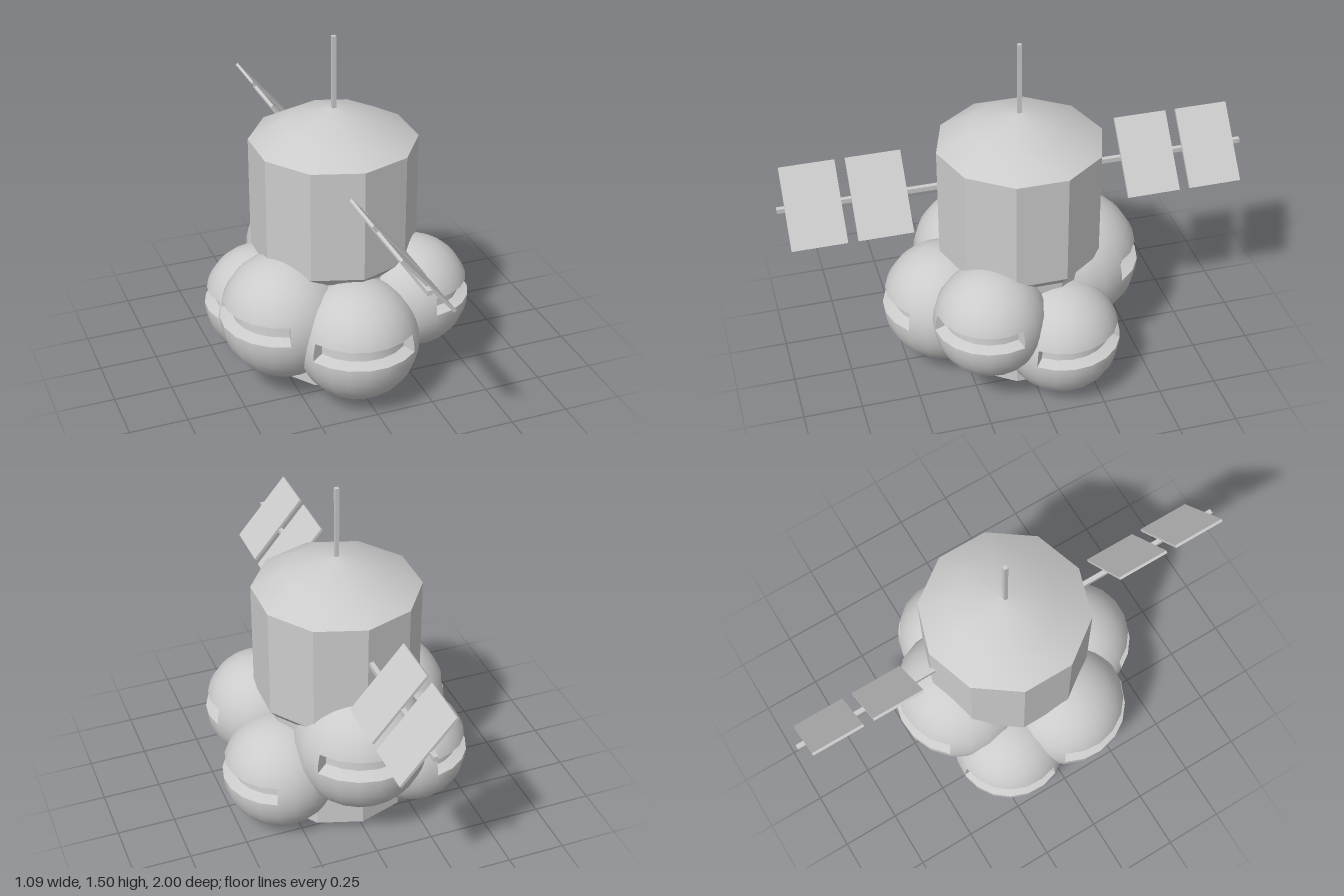
import * as THREE from 'three';
import { toCreasedNormals } from 'three/addons/utils/BufferGeometryUtils.js';

const DEG = Math.PI / 180;
const grey = new THREE.MeshStandardMaterial({ color: 0xcccccc });
const greyDouble = new THREE.MeshStandardMaterial({ color: 0xcccccc, side: THREE.DoubleSide });

function addMesh(parent, name, geometry, material = grey) {
  const mesh = new THREE.Mesh(geometry, material);
  mesh.name = name;
  parent.add(mesh);
  return mesh;
}

function addBox(parent, name, size, position) {
  const mesh = addMesh(parent, name, new THREE.BoxGeometry(...size));
  mesh.position.set(...position);
  return mesh;
}

// Spherical pod with a recessed slot just above its equator, centred on azimuth az (0 = +z, 90 = +x)
function createPod(name, [x, y, z], r, az) {
  const pod = new THREE.Group();
  pod.name = name;
  pod.position.set(x, y, z);
  const start = (az - 54) * DEG, span = 108 * DEG, end = start + span;
  const bandTop = 72 * DEG, full = Math.PI * 2, quarter = Math.PI / 2;
  const phi = start + quarter; // sphere geometry measures its angle from -x

  addMesh(pod, 'podTop', new THREE.SphereGeometry(r, 20, 8, phi, full, 0, bandTop));
  addMesh(pod, 'podBottom', new THREE.SphereGeometry(r, 20, 10, phi, full, quarter, quarter));
  addMesh(pod, 'podBand', new THREE.SphereGeometry(r, 14, 2, phi + span, full - span, bandTop, 18 * DEG));

  // Slot ledges and floor, then the two end walls
  const profile = [[1, 0], [0.81, 0.06], [0.79, 0.285], [0.951, 0.309]]
    .map(([px, py]) => new THREE.Vector2(px * r, py * r));
  const slot = new THREE.LatheGeometry(profile, 6, start, span);
  addMesh(pod, 'slot', toCreasedNormals(slot, 0.5), greyDouble);
  const middle = new THREE.Vector2(Math.cos(9 * DEG) * r, Math.sin(9 * DEG) * r);
  for (const angle of [start, end]) {
    const wall = new THREE.ShapeGeometry(new THREE.Shape([...profile, middle]));
    wall.rotateY(angle - quarter);
    addMesh(pod, 'slotEnd', wall, greyDouble);
  }
  return pod;
}

export function createModel() {
  const model = new THREE.Group();
  model.name = 'podStation';

  // Ten-sided hull with a tapered lower edge and shallow domed roof
  const hullProfile = [
    [0, 0.035], [0.318, 0.035], [0.318, 0.53], [0.354, 0.572],
    [0.354, 1.06], [0.22, 1.135], [0, 1.2],
  ].map(([x, y]) => new THREE.Vector2(x, y));
  const hull = addMesh(model, 'hull', toCreasedNormals(new THREE.LatheGeometry(hullProfile, 10), 0.5));
  hull.position.z = -0.015;

  // Mast
  addBox(model, 'antenna', [0.017, 0.33, 0.017], [0, 1.345, -0.012]);

  // Solar boom and tilted panels lying on it
  addBox(model, 'solarBoom', [0.02, 0.02, 2], [-0.015, 0.89, 0]);
  for (const z of [0.853, 0.58, -0.575, -0.85]) {
    const panel = addBox(model, 'solarPanel', [0.346, 0.012, 0.23], [-0.003, 0.896, z]);
    panel.rotation.z = -50 * DEG;
  }

  // Ring of pods of mixed size and height
  const pods = [
    ['frontPod', [-0.025, 0.293, 0.325], 0.261, -11],
    ['frontLeftPod', [0.278, 0.387, 0.19], 0.241, 57],
    ['backLeftPod', [0.295, 0.257, -0.115], 0.25, 104],
    ['backPod', [-0.015, 0.427, -0.25], 0.29, 176],
    ['backRightPod', [-0.285, 0.26, -0.165], 0.246, 240],
    ['frontRightPod', [-0.277, 0.35, 0.122], 0.27, 293],
  ];
  for (const pod of pods) model.add(createPod(...pod));

  return model;
}
